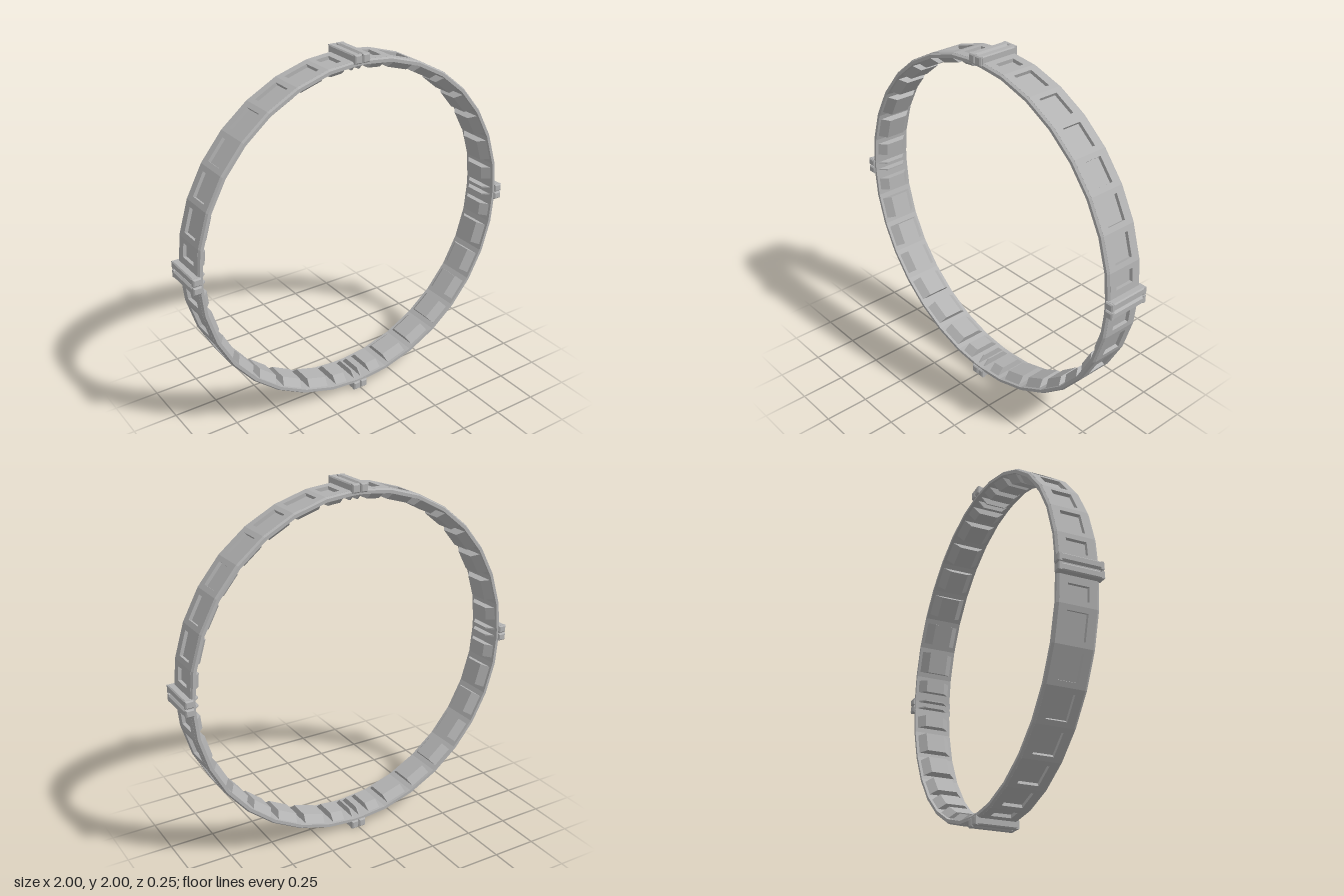
import * as THREE from 'three';

const SIDES = 32;
const STEP = (Math.PI * 2) / SIDES;
const metal = new THREE.MeshStandardMaterial({ color: 0xb2b2b2 });
metal.name = 'grey metal';

function part(name, geometry) {
  const mesh = new THREE.Mesh(geometry, metal);
  mesh.name = name;
  return mesh;
}

function polygon(points) {
  return new THREE.Shape(points.map(([x, y]) => new THREE.Vector2(x, y)));
}

function rect(x0, x1, h) {
  return [[x0, -h], [x1, -h], [x1, h], [x0, h]];
}

// Trapezoid rib standing inward from the band, running from x0 to x1 along it
function wedge(x0, x1, inner, outer, innerHalf, outerHalf) {
  const shape = polygon([[-innerHalf, inner], [innerHalf, inner], [outerHalf, outer], [-outerHalf, outer]]);
  return new THREE.ExtrudeGeometry(shape, { depth: x1 - x0, bevelEnabled: false })
    .rotateY(Math.PI / 2).translate(x0, 0, 0);
}

// Flat outer plate with a recessed window
function windowPlate(x0, x1) {
  const half = 0.965 * Math.tan(STEP / 2);
  const shape = polygon(rect(-half, half, 0.1));
  shape.holes.push(new THREE.Path(polygon(rect(x0, x1, 0.056)).getPoints().reverse()));
  return new THREE.ExtrudeGeometry(shape, { depth: 0.02, bevelEnabled: false })
    .rotateX(-Math.PI / 2).translate(0, 0.945, 0);
}

// Faceted ring swept from a closed (radius, z) profile
function facetedRing(profile) {
  const points = profile.map(([r, z]) => new THREE.Vector2(r / Math.cos(STEP / 2), z));
  points.push(points[0].clone());
  const geometry = new THREE.LatheGeometry(points, SIDES).rotateX(Math.PI / 2).toNonIndexed();
  geometry.computeVertexNormals();
  return geometry;
}

// Clamp with two chamfered rails, a groove, end caps and inner fins
function createClamp() {
  const clamp = new THREE.Group();
  clamp.name = 'clamp';
  const core = new THREE.BoxGeometry(0.08, 0.046, 0.226).translate(0, 0.965, 0);
  clamp.add(part('clampCore', core));
  for (const s of [-1, 1]) {
    const rail = polygon([[0.004, 0.953], [0.046, 0.953], [0.046, 0.994], [0.04, 1], [0.014, 1], [0.004, 0.99]]);
    const railGeometry = new THREE.ExtrudeGeometry(rail, { depth: 0.22, bevelEnabled: false }).translate(0, 0, -0.11);
    if (s < 0) railGeometry.rotateY(Math.PI).scale(1, 1, 1);
    clamp.add(part('clampRail', railGeometry));
    for (const e of [-1, 1]) {
      const cap = new THREE.ExtrudeGeometry(polygon([[-0.021, -0.0235], [0.021, -0.0235], [0.021, 0.0235], [-0.021, 0.0235]]), {
        depth: 0.014, bevelThickness: 0.006, bevelSize: 0.006, bevelOffset: -0.006, bevelSegments: 1,
      }).translate(s * 0.024, 0.9765, -0.007);
      const mesh = part('clampEndCap', cap);
      mesh.position.z = e * 0.111;
      clamp.add(mesh);
    }
    clamp.add(part('innerFin', wedge(s * 0.022 - 0.004, s * 0.022 + 0.004, 0.905, 0.95, 0.056, 0.098)));
  }
  return clamp;
}

export function createModel() {
  const model = new THREE.Group();
  model.name = 'segmentedRing';
  const ring = new THREE.Group();
  ring.name = 'ring';
  ring.position.y = 1;
  model.add(ring);

  // Thin backing band and the two chamfered rims
  ring.add(part('backingBand', facetedRing([[0.94, -0.105], [0.946, -0.105], [0.946, 0.105], [0.94, 0.105]])));
  ring.add(part('frontRim', facetedRing([[0.94, 0.096], [0.9645, 0.096], [0.9645, 0.1], [0.957, 0.112], [0.94, 0.112]])));
  ring.add(part('backRim', facetedRing([[0.94, -0.112], [0.957, -0.112], [0.9645, -0.1], [0.9645, -0.096], [0.94, -0.096]])));

  // Window plate and inner block on each facet, shortened beside the clamps
  for (let i = 0; i < SIDES; i++) {
    const facet = new THREE.Group();
    facet.name = 'facet';
    facet.rotation.z = -(i + 0.5) * STEP;
    const x0 = i % 8 === 0 ? -0.01 : -0.067;
    const x1 = i % 8 === 7 ? 0.01 : 0.067;
    facet.add(part('windowPlate', windowPlate(x0, x1)));
    facet.add(part('innerBlock', wedge(Math.max(x0, -0.063), Math.min(x1, 0.063), 0.903, 0.942, 0.056, 0.098)));
    ring.add(facet);
  }

  // Clamps at the four quarters
  for (let i = 0; i < 4; i++) {
    const clamp = createClamp();
    clamp.rotation.z = (i * Math.PI) / 2;
    ring.add(clamp);
  }
  return model;
}
